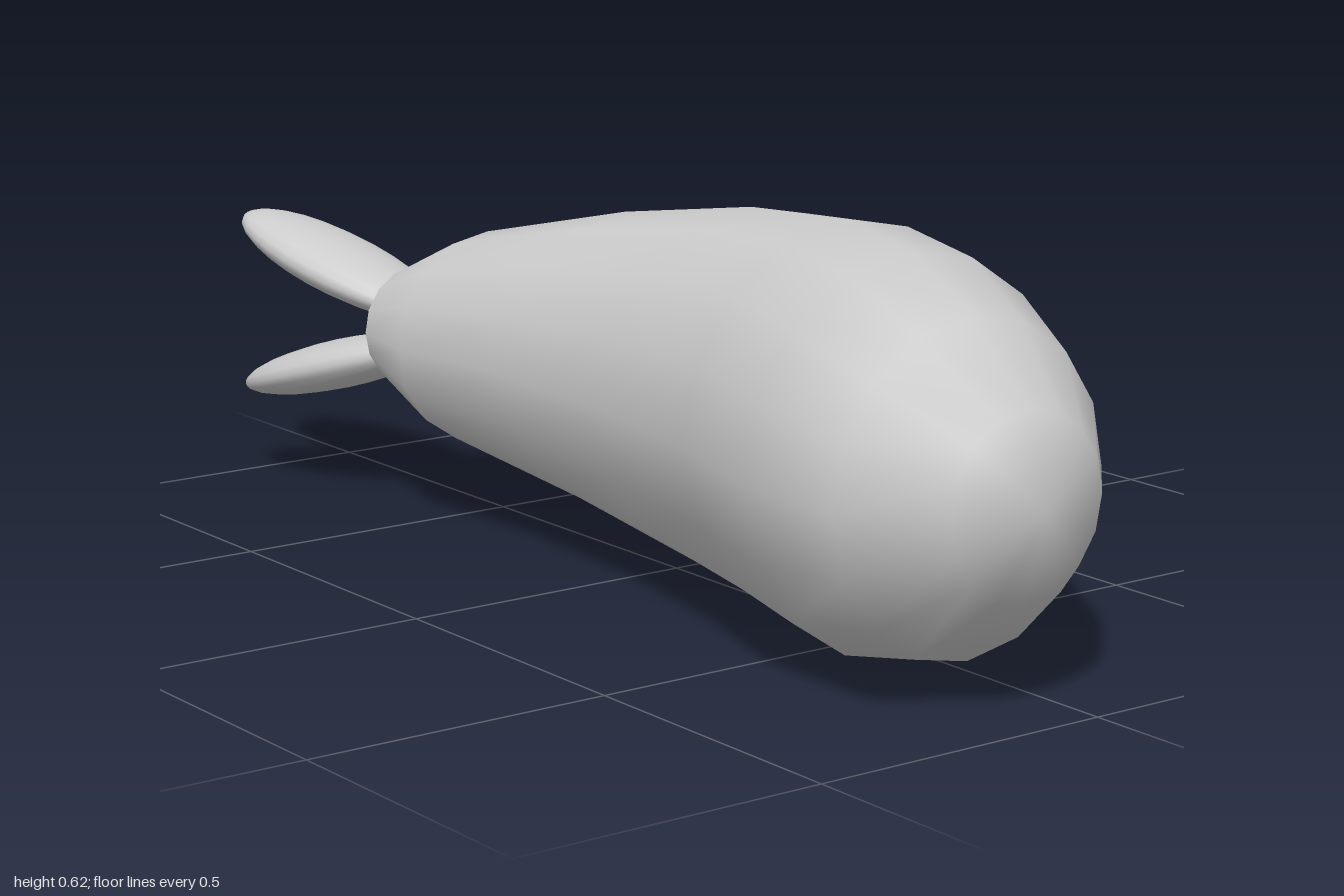
import * as THREE from 'three';
import { mergeVertices } from 'three/addons/utils/BufferGeometryUtils.js';

const SIDES = 16;
const MID_Y = 0.312;
const material = new THREE.MeshStandardMaterial({ color: 0xcccccc });

// Smooth skin over round cross-sections [x, centre z, radius, lean], ordered along +x
function loft(rings) {
  const pos = [], index = [];
  for (const [x, z, r, lean = 0] of rings) {
    for (let j = 0; j < SIDES; j++) {
      const a = (j / SIDES) * Math.PI * 2;
      const dz = r * Math.sin(a);
      pos.push(x + lean * dz, MID_Y + r * Math.cos(a), z + dz);
    }
  }
  for (let i = 0; i < rings.length - 1; i++) {
    for (let j = 0; j < SIDES; j++) {
      const k = (j + 1) % SIDES;
      const a = i * SIDES + j, d = i * SIDES + k;
      const b = a + SIDES, c = d + SIDES;
      if (rings[i][2] > 0) index.push(a, d, b);
      if (rings[i + 1][2] > 0) index.push(d, c, b);
      else if (rings[i][2] === 0) index.push(a, d, b);
    }
  }
  // Triangles touching a collapsed ring
  for (let j = 0; j < SIDES && rings[0][2] === 0; j++) {
    index.push(j, SIDES + ((j + 1) % SIDES), SIDES + j);
  }
  let geo = new THREE.BufferGeometry();
  geo.setAttribute('position', new THREE.Float32BufferAttribute(pos, 3));
  geo.setIndex(index);
  geo = mergeVertices(geo, 1e-4);
  geo.computeVertexNormals();
  return geo;
}

function addMesh(group, name, geometry) {
  const mesh = new THREE.Mesh(geometry, material);
  mesh.name = name;
  group.add(mesh);
  return mesh;
}

export function createModel() {
  const model = new THREE.Group();
  model.name = 'curvedBodyWithTail';

  // Curved body, narrow at the tail and blunt at the head
  const tailEnd = [-0.625, 0.1, 0.1, 0.1];
  addMesh(model, 'body', loft([
    tailEnd,
    [-0.465, 0.05, 0.18],
    [-0.19, -0.037, 0.243],
    [0.11, -0.065, 0.29],
    [0.38, -0.04, 0.311],
    [0.62, 0.035, 0.307],
    [0.83, 0.098, 0.252],
    [0.955, 0.1, 0.14],
    [0.997, 0.1, 0],
  ]));

  // Nearly flat end of the body between the fins
  addMesh(model, 'tailCap', loft([[-0.64, 0.1, 0], tailEnd]));

  // Two flat oval tail fins, mirrored up and down
  const finGeo = new THREE.SphereGeometry(1, 20, 14);
  finGeo.rotateZ(Math.PI / 2);
  finGeo.scale(0.23, 0.043, 0.094);
  for (const side of [1, -1]) {
    const fin = addMesh(model, side > 0 ? 'upperTailFin' : 'lowerTailFin', finGeo);
    fin.position.set(-0.778, MID_Y + side * 0.088, 0.147);
    fin.rotation.set(0, 0.245, side * -0.28);
  }
  return model;
}
